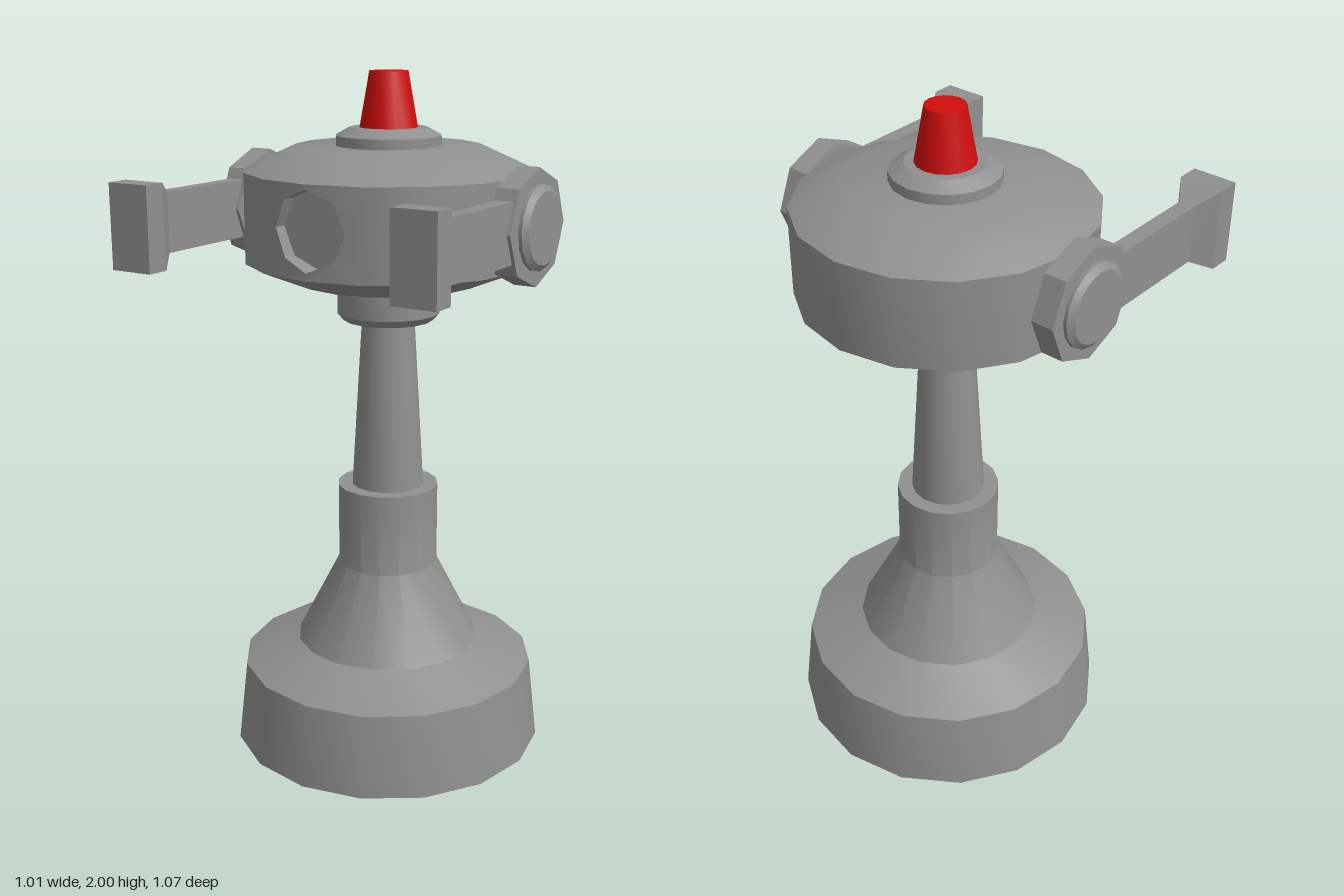
import * as THREE from 'three';
import { mergeGeometries, toCreasedNormals } from 'three/addons/utils/BufferGeometryUtils.js';

const SIDES = 16, CREASE = 0.5, AXIS_Z = -0.067;

function lathe(profile, start = 0, length = Math.PI * 2, sides = SIDES) {
  return new THREE.LatheGeometry(profile.map(([r, y]) => new THREE.Vector2(r, y)), sides, start, length);
}

// Moves every vertex by a rule
function reshape(geometry, rule) {
  const p = geometry.attributes.position, v = new THREE.Vector3();
  for (let i = 0; i < p.count; i++) {
    v.fromBufferAttribute(p, i);
    rule(v);
    p.setXYZ(i, v.x, v.y, v.z);
  }
  return geometry;
}

export function createModel() {
  const model = new THREE.Group();
  model.name = 'beaconTower';
  const grey = new THREE.MeshStandardMaterial({ color: 0x909090 });
  grey.name = 'grey metal';
  const red = new THREE.MeshStandardMaterial({ color: 0xd00d0d });
  red.name = 'red lamp';

  function add(parent, name, geometry, material = grey) {
    const mesh = new THREE.Mesh(toCreasedNormals(geometry, CREASE), material);
    mesh.name = name;
    parent.add(mesh);
    return mesh;
  }

  // Everything turned about the vertical axis
  const tower = new THREE.Group();
  tower.name = 'tower';
  tower.position.z = AXIS_Z;
  model.add(tower);

  add(tower, 'base', lathe([[0, 0], [0.467, 0], [0.44, 0.245], [0.275, 0.31],
    [0.15, 0.555], [0.15, 0.8], [0, 0.8]]));
  add(tower, 'pole', lathe([[0.107, 0.8], [0.077, 1.31]]));
  add(tower, 'neckCollar', lathe([[0, 1.3], [0.13, 1.3], [0.15, 1.322], [0.15, 1.42]]));
  add(tower, 'lampCollar', lathe([[0.15, 1.79], [0.15, 1.825], [0.11, 1.847], [0, 1.847]]));
  add(tower, 'lamp', lathe([[0.083, 1.845], [0.055, 2], [0, 2]]), red);

  // Head: a drum whose two front panels carry an octagonal recess
  const R = 0.412, low = 1.475, high = 1.73, step = Math.PI * 2 / SIDES;
  const eyeY = 1.607, eyeR = 0.11, eyeDepth = 0.06;
  const panelX = R * Math.sin(step), slope = Math.tan(step / 2);
  const outline = [[0, low], [panelX, low], [panelX, high], [0, high]];
  for (let i = 0; i <= 4; i++) {
    const a = Math.PI / 2 - i * Math.PI / 4;
    outline.push([eyeR * Math.cos(a), eyeY + eyeR * Math.sin(a)]);
  }
  const panel = (side) => {
    const points = outline.map(([x, y]) => new THREE.Vector2(side * x, y));
    const g = new THREE.ShapeGeometry(new THREE.Shape(points));
    return reshape(g, (v) => { v.z = R - Math.abs(v.x) * slope; });
  };
  const headParts = [
    lathe([[0, 1.415], [0.265, 1.415], [R, low]]),
    lathe([[R, low], [R, high]], step, Math.PI * 2 - 2 * step, SIDES - 2),
    lathe([[R, high], [0.265, 1.797], [0, 1.797]]),
    panel(1), panel(-1),
  ];
  add(tower, 'head', mergeGeometries(headParts.map((g) => g.toNonIndexed())));

  // Recess walls follow the bent panels; the floor is flat
  const walls = new THREE.CylinderGeometry(eyeR, eyeR, 1, 8, 1, true).rotateX(Math.PI / 2);
  reshape(walls, (v) => {
    v.z = v.z > 0 ? R - Math.abs(v.x) * slope : R - eyeDepth;
    v.y += eyeY;
  });
  walls.index.array.reverse();
  add(tower, 'eyeRecessWall', walls);
  add(tower, 'eyeRecessFloor', new THREE.CircleGeometry(eyeR, 8).translate(0, eyeY, R - eyeDepth));

  // Side arms: hub, octagonal plate and a bar that flares at the tip
  const stations = [[-0.06, 0.023, 0.083], [0.4, 0.023, 0.083], [0.465, 0.065, 0.118], [0.532, 0.065, 0.118]];
  for (const side of [1, -1]) {
    const arm = new THREE.Group();
    arm.name = side > 0 ? 'leftArm' : 'rightArm';
    arm.position.set(side * 0.44, 1.604, 0);
    model.add(arm);

    const turn = -side * Math.PI / 2;
    add(arm, 'hub', lathe([[0, -0.09], [0.117, -0.09], [0.117, 0.043], [0.1, 0.056], [0, 0.056]])
      .rotateZ(turn).translate(0, 0, -0.062));
    add(arm, 'hubPlate', new THREE.CylinderGeometry(0.161, 0.161, 0.066, 8)
      .rotateZ(turn).translate(0, 0, -0.06));
    const bar = reshape(new THREE.BoxGeometry(1, 1, 1, 1, 1, 3), (v) => {
      const [z, w, h] = stations[Math.round((v.z + 0.5) * 3)];
      v.set(Math.sign(v.x) * w, Math.sign(v.y) * h, z);
    });
    add(arm, 'armBar', bar);
  }
  return model;
}
